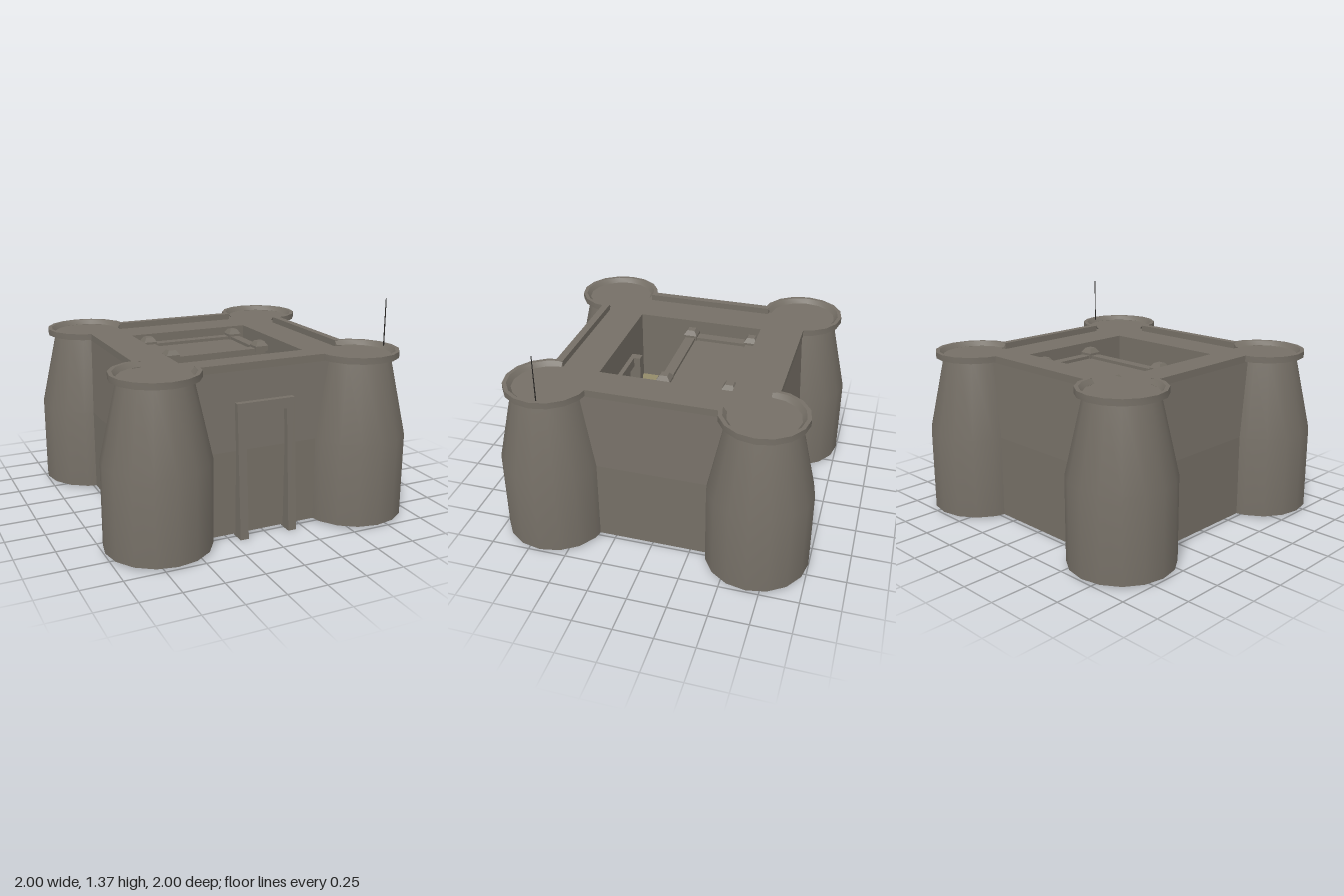
import * as THREE from 'three';
import { toCreasedNormals } from 'three/addons/utils/BufferGeometryUtils.js';

export function createModel() {
  const stone = new THREE.MeshStandardMaterial({ color: 0x756f66, side: THREE.DoubleSide });
  stone.name = 'stone';
  const sand = new THREE.MeshStandardMaterial({ color: 0x938a69, side: THREE.DoubleSide });
  sand.name = 'sand';
  const iron = new THREE.MeshStandardMaterial({ color: 0x2a2826 });
  iron.name = 'iron';

  const model = new THREE.Group();
  model.name = 'fort';
  const add = (name, geo, mat = stone, parent = model) => {
    const m = new THREE.Mesh(geo, mat);
    m.name = name;
    parent.add(m);
    return m;
  };
  // Box given by its min and max corners
  const box = (name, x0, x1, y0, y1, z0, z1, mat = stone, parent = model) => {
    const g = new THREE.BoxGeometry(x1 - x0, y1 - y0, z1 - z0);
    g.translate((x0 + x1) / 2, (y0 + y1) / 2, (z0 + z1) / 2);
    return add(name, g, mat, parent);
  };
  const BASE = 0.015, BREAK = 0.55, DECK = 1.04, TOP = 1.08, C = 0.67, COURT = 0.425;

  // Corner towers: three-quarter shells, open towards the middle of the fort
  const arc = (pts) => new THREE.LatheGeometry(
    pts.map(([r, y]) => new THREE.Vector2(r, y)), 12, -Math.PI / 2, Math.PI * 1.5);
  const towerGeo = arc([[0.33, BASE], [0.33, BREAK], [0.22, DECK]]);
  const rimGeo = toCreasedNormals(arc([[0.2, DECK - 0.005], [0.27, DECK], [0.27, TOP],
    [0.245, TOP], [0.22, DECK + 0.012]]), 0.6);
  const capGeo = new THREE.CircleGeometry(0.235, 16).rotateX(-Math.PI / 2);

  // Wall: vertical below, leaning inwards above
  const wallGeo = new THREE.BufferGeometry();
  const rows = [[BASE, 0.74, 0.36], [BREAK, 0.74, 0.36], [DECK, 0.705, 0.47]];
  const pos = [];
  for (let i = 0; i < 2; i++) {
    const [ya, za, wa] = rows[i], [yb, zb, wb] = rows[i + 1];
    pos.push(-wa, ya, za, wa, ya, za, wb, yb, zb, -wa, ya, za, wb, yb, zb, -wb, yb, zb);
  }
  wallGeo.setAttribute('position', new THREE.Float32BufferAttribute(pos, 3));
  wallGeo.computeVertexNormals();

  const courtGeo = new THREE.PlaneGeometry(2 * COURT, DECK - BASE)
    .rotateY(Math.PI).translate(0, (DECK + BASE) / 2, COURT);

  for (let i = 0; i < 4; i++) {
    const side = new THREE.Group();
    side.name = 'side' + (i + 1);
    side.rotation.y = i * Math.PI / 2;
    model.add(side);
    add('tower', towerGeo, stone, side).position.set(C, 0, C);
    add('towerRim', rimGeo, stone, side).position.set(C, 0, C);
    add('towerFloor', capGeo, stone, side).position.set(C, DECK + 0.002, C);
    add('wall', wallGeo, stone, side);
    box('parapet', -0.43, 0.43, DECK - 0.005, TOP, 0.67, 0.718, stone, side);
    add('courtyardWall', courtGeo, stone, side);
  }

  // Roof deck around the courtyard
  const square = (s, Type) => new Type([[-s, -s], [s, -s], [s, s], [-s, s]]
    .map(([x, y]) => new THREE.Vector2(x, y)));
  const deck = square(0.7, THREE.Shape);
  deck.holes.push(square(COURT, THREE.Path));
  add('deck', new THREE.ShapeGeometry(deck).rotateX(-Math.PI / 2)).position.y = DECK;
  add('courtyardFloor', new THREE.PlaneGeometry(2 * COURT, 2 * COURT)
    .rotateX(-Math.PI / 2), sand).position.y = 0.56;

  // Gate frames, outer one leaning back with the wall
  const lean = (mesh, k) => {
    const p = mesh.geometry.attributes.position;
    for (let i = 0; i < p.count; i++) p.setZ(i, p.getZ(i) - k * p.getY(i));
    mesh.geometry.computeVertexNormals();
  };
  for (const s of [-1, 1]) {
    const x0 = Math.min(s * 0.137, s * 0.192), x1 = Math.max(s * 0.137, s * 0.192);
    lean(box('gatePost', x0, x1, 0, 0.845, 0.72, 0.815), 0.07);
    box('innerGatePost', x0, x1, 0, 0.845, 0.352, 0.43);
    box('keepDoorPost', x0, x1, 0.56, 0.86, 0.05, 0.068);
  }
  lean(box('gateLintel', -0.137, 0.137, 0.78, 0.845, 0.72, 0.815), 0.07);
  box('innerGateLintel', -0.137, 0.137, 0.78, 0.845, 0.395, 0.43);

  // Keep in the courtyard: four posts with bevelled caps, beams and a flat roof
  const capTop = new THREE.CylinderGeometry(0.035, 0.064, 0.03, 4, 1)
    .toNonIndexed().rotateY(Math.PI / 4);
  capTop.computeVertexNormals();
  const zs = [-0.385, 0.033];
  for (const x of [-0.32, 0.32]) {
    for (const z of zs) {
      box('keepPost', x - 0.033, x + 0.033, 0, 0.97, z - 0.033, z + 0.033);
      box('keepPostCap', x - 0.045, x + 0.045, 0.965, 1.0, z - 0.045, z + 0.045);
      add('keepPostTop', capTop).position.set(x, 1.015, z);
    }
    box('keepSideBeam', x - 0.033, x + 0.033, 0.92, 0.985, zs[0], zs[1]);
    box('keepSideWall', x - 0.01, x + 0.01, 0.56, 0.93, zs[0], zs[1]);
  }
  for (const z of zs) box('keepCrossBeam', -0.3, 0.3, 0.92, 0.985, z - 0.033, z + 0.033);
  box('keepRoof', -0.3, 0.3, 0.93, 0.965, zs[0], zs[1]);
  box('keepBackWall', -0.3, 0.3, 0.56, 0.93, zs[0] - 0.01, zs[0] + 0.01);
  box('keepFrontPanel', -0.29, 0.29, 0.56, 0.925, 0.045, 0.053, sand);

  // Mast on the front left tower
  add('mast', new THREE.CylinderGeometry(0.003, 0.004, 0.32, 6), iron).position.set(0.9, 1.21, 0.64);

  return model;
}
